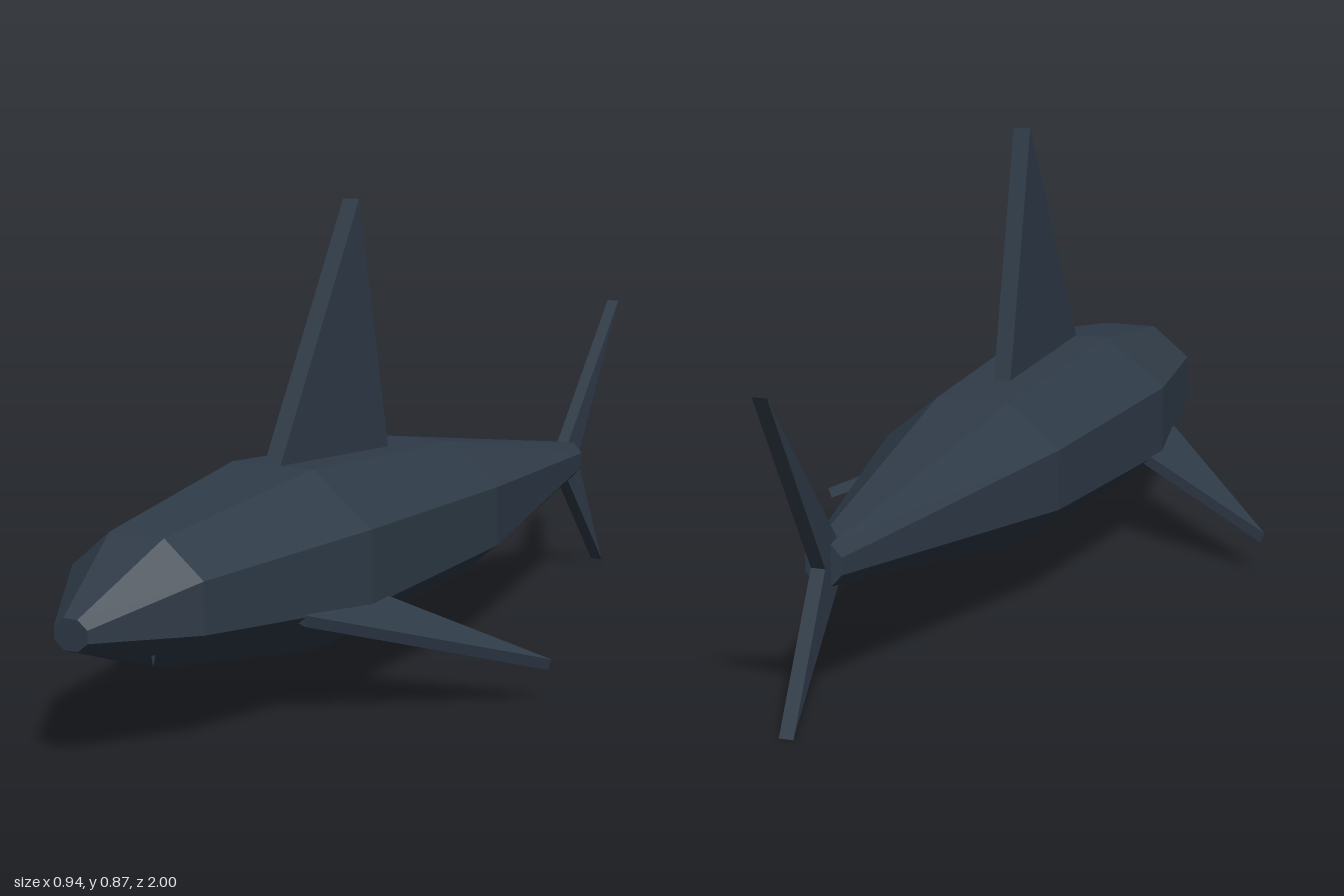
import * as THREE from 'three';

const slate = new THREE.MeshStandardMaterial({ color: 0x2f3b48, flatShading: true });
slate.name = 'slate';

// Octagonal body stations, nose to tail: z, centre y, half width, half height
const stations = [
  [1.0, 0.225, 0.033, 0.026],
  [0.82, 0.247, 0.132, 0.108],
  [0.41, 0.247, 0.205, 0.163],
  [-0.12, 0.247, 0.172, 0.138],
  [-0.78, 0.25, 0.033, 0.036],
];

function bodyGeometry() {
  const n = stations.length - 1;
  const r = 1 / Math.cos(Math.PI / 8);
  const g = new THREE.CylinderGeometry(r, r, 1, 8, n);
  g.rotateY(Math.PI / 8);
  g.rotateX(Math.PI / 2);
  const p = g.attributes.position;
  for (let i = 0; i < p.count; i++) {
    const [z, cy, hw, hh] = stations[Math.round((0.5 - p.getZ(i)) * n)];
    p.setXYZ(i, p.getX(i) * hw, cy + p.getY(i) * hh, z);
  }
  g.computeVertexNormals();
  return g;
}

// Flat plate from an outline, centred on its thickness
function plate(points, thickness) {
  const shape = new THREE.Shape(points.map(([a, b]) => new THREE.Vector2(a, b)));
  const g = new THREE.ExtrudeGeometry(shape, { depth: thickness, bevelEnabled: false });
  return g.translate(0, 0, -thickness / 2);
}

// Upright plate: outline given as (z, y)
const uprightPlate = (points, thickness) => plate(points, thickness).rotateY(-Math.PI / 2);

export function createModel() {
  const model = new THREE.Group();
  model.name = 'shark';
  const add = (name, geometry) => {
    const mesh = new THREE.Mesh(geometry, slate);
    mesh.name = name;
    model.add(mesh);
    return mesh;
  };

  add('body', bodyGeometry());
  add('dorsalFin', uprightPlate([[0.44, 0.36], [0.41, 0.41], [0.137, 0.866], [0.03, 0.385], [0.02, 0.34]], 0.034));

  // Forked tail
  add('upperTailFin', uprightPlate([[-0.72, 0.25], [-0.745, 0.28], [-1, 0.577], [-0.8, 0.248]], 0.026));
  add('lowerTailFin', uprightPlate([[-0.72, 0.25], [-0.8, 0.25], [-0.93, 0], [-0.745, 0.216]], 0.026));

  // Side fins, swept back and drooping; outline as (outward, z)
  const droop = 0.37;
  for (const side of [1, -1]) {
    const g = plate([[-0.07, 0.58], [-0.015, 0.58], [0.296, 0.24], [0.01, 0.345], [-0.07, 0.375]], 0.021);
    g.rotateX(Math.PI / 2).rotateZ(-droop).translate(0.19, 0.177, 0);
    const fin = add(side > 0 ? 'leftSideFin' : 'rightSideFin', g);
    fin.scale.x = side;

    // Small tooth under the snout
    const tooth = add(side > 0 ? 'leftTooth' : 'rightTooth', new THREE.ConeGeometry(0.007, 0.03, 4));
    tooth.rotation.x = Math.PI;
    tooth.position.set(side * 0.062, 0.166, 0.865);
  }
  return model;
}
